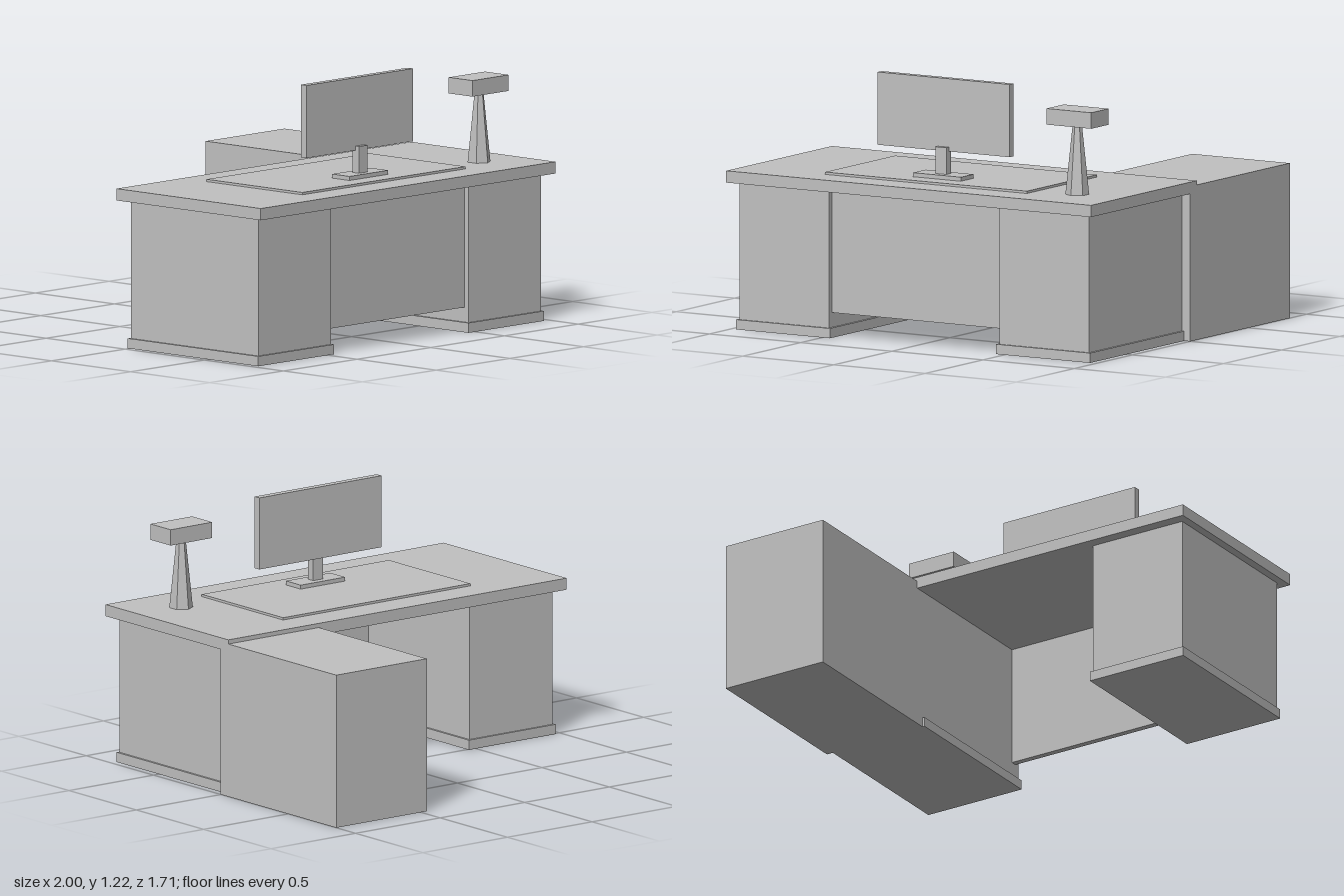
import * as THREE from 'three';

export function createModel() {
  const desk = new THREE.Group();
  desk.name = 'desk';
  const grey = new THREE.MeshStandardMaterial({ color: 0xc0c0c0 });
  grey.name = 'plain grey';

  // Adds a box given its extents along each axis
  function box(name, [x0, x1], [y0, y1], [z0, z1], parent = desk) {
    const mesh = new THREE.Mesh(new THREE.BoxGeometry(x1 - x0, y1 - y0, z1 - z0), grey);
    mesh.position.set((x0 + x1) / 2, (y0 + y1) / 2, (z0 + z1) / 2);
    mesh.name = name;
    parent.add(mesh);
    return mesh;
  }

  function group(name) {
    const g = new THREE.Group();
    g.name = name;
    desk.add(g);
    return g;
  }

  // Desk top and side return cabinet
  box('deskTop', [-1, 1], [0.69, 0.745], [-0.055, 0.857]);
  box('returnCabinet', [0.465, 1], [0, 0.725], [-0.857, 0.003]);

  // Pedestals, each on a slightly wider plinth
  for (const [side, x] of [['right', -0.715], ['left', 0.711]]) {
    const pedestal = group(side + 'Pedestal');
    box('cabinet', [x - 0.246, x + 0.246], [0.045, 0.69], [0, 0.805], pedestal);
    box('plinth', [x - 0.257, x + 0.257], [0, 0.046], [-0.01, 0.815], pedestal);
  }

  // Panel closing the knee space
  box('modestyPanel', [-0.47, 0.465], [0.115, 0.69], [0.75, 0.78]);

  // Desk mat
  box('deskMat', [-0.555, 0.552], [0.745, 0.756], [0.1, 0.705]);

  // Monitor
  const monitor = group('monitor');
  box('screen', [-0.363, 0.36], [0.88, 1.22], [0.518, 0.553], monitor);
  box('neck', [-0.031, 0.028], [0.77, 0.9], [0.535, 0.575], monitor);
  box('foot', [-0.133, 0.13], [0.75, 0.775], [0.5, 0.61], monitor);

  // Lamp with a tapered six-sided stem
  const lamp = group('deskLamp');
  const stemGeometry = new THREE.CylinderGeometry(0.021, 0.055, 0.33, 6).toNonIndexed();
  stemGeometry.computeVertexNormals();
  const stem = new THREE.Mesh(stemGeometry, grey);
  stem.name = 'stem';
  stem.position.set(0.76, 0.91, 0.597);
  lamp.add(stem);
  box('head', [0.637, 0.883], [1.07, 1.145], [0.52, 0.67], lamp);

  return desk;
}
